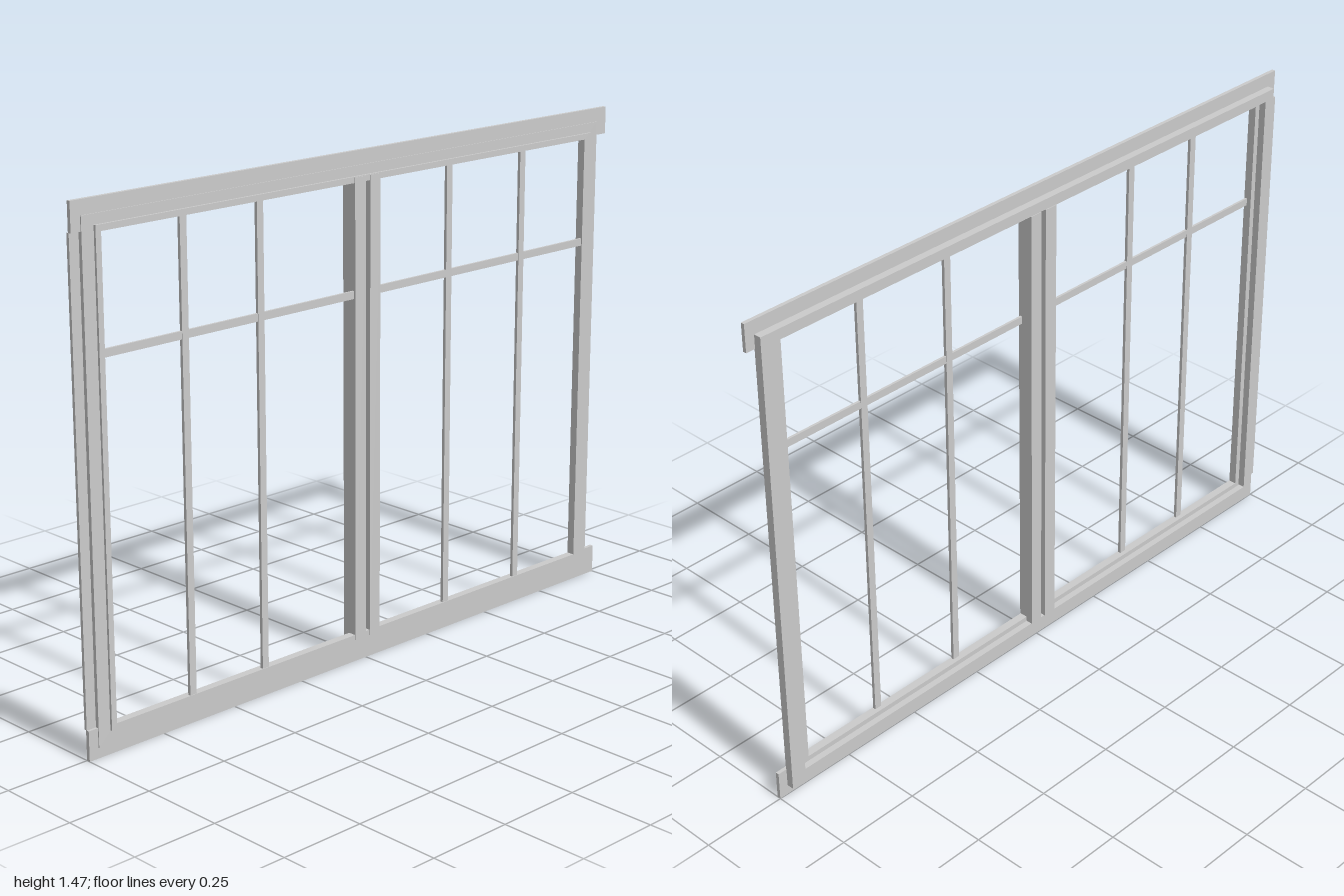
import * as THREE from 'three';

const material = new THREE.MeshStandardMaterial({ color: 0xcccccc, flatShading: true });

export function createModel() {
  const model = new THREE.Group();
  model.name = 'doubleWindow';

  // Box given by its extents along x, y and z
  function bar(name, [x0, x1], [y0, y1], [z0, z1]) {
    const mesh = new THREE.Mesh(new THREE.BoxGeometry(x1 - x0, y1 - y0, z1 - z0), material);
    mesh.position.set((x0 + x1) / 2, (y0 + y1) / 2, (z0 + z1) / 2);
    mesh.name = name;
    model.add(mesh);
  }

  // Rectangular ring in the zy plane, extruded along x; corners run anticlockwise
  function ring(name, [x0, x1], outer, inner) {
    const rect = (target, [z0, y0, z1, y1]) => {
      target.moveTo(-z1, y0).lineTo(-z0, y0).lineTo(-z0, y1).lineTo(-z1, y1).closePath();
      return target;
    };
    const shape = rect(new THREE.Shape(), outer);
    shape.holes.push(rect(new THREE.Path(), inner));
    const geometry = new THREE.ExtrudeGeometry(shape, { depth: x1 - x0, bevelEnabled: false });
    geometry.rotateY(Math.PI / 2);
    geometry.translate(x0, 0, 0);
    const mesh = new THREE.Mesh(geometry, material);
    mesh.name = name;
    model.add(mesh);
  }

  // Outer frame: deep back ring and a slightly narrower front ring
  ring('outerFrame', [-0.022, 0.002], [-0.972, 0.03, 0.97, 1.43], [-0.925, 0.07, 0.935, 1.4]);
  ring('frontFrame', [0.002, 0.014], [-0.957, 0.03, 0.97, 1.43], [-0.915, 0.075, 0.925, 1.395]);

  // Sash rim, recessed at the back and proud at the front
  ring('sashRim', [-0.003, 0.021], [-0.922, 0.068, 0.932, 1.402], [-0.895, 0.085, 0.915, 1.385]);

  // Flat head, sill and side casings
  bar('headCasing', [0, 0.011], [1.39, 1.47], [-1, 1]);
  bar('sillCasing', [0, 0.011], [0, 0.085], [-1, 1]);
  bar('sideCasing', [-0.006, 0.003], [0.085, 1.39], [0.965, 1]);

  // Meeting stiles and glazing bars of both sashes
  const sashes = [
    { stile: [0.012, 0.053], span: [0.053, 0.915], bars: [0.653, 0.393] },
    { stile: [-0.043, -0.004], span: [-0.895, -0.043], bars: [-0.32, -0.625] },
  ];
  for (const { stile, span, bars } of sashes) {
    bar('meetingStile', [-0.024, 0.023], [0.07, 1.4], stile);
    bar('horizontalGlazingBar', [0.011, 0.018], [1.065, 1.087], span);
    for (const z of bars) {
      bar('verticalGlazingBar', [0.01, 0.019], [0.08, 1.39], [z - 0.011, z + 0.011]);
    }
  }
  return model;
}
